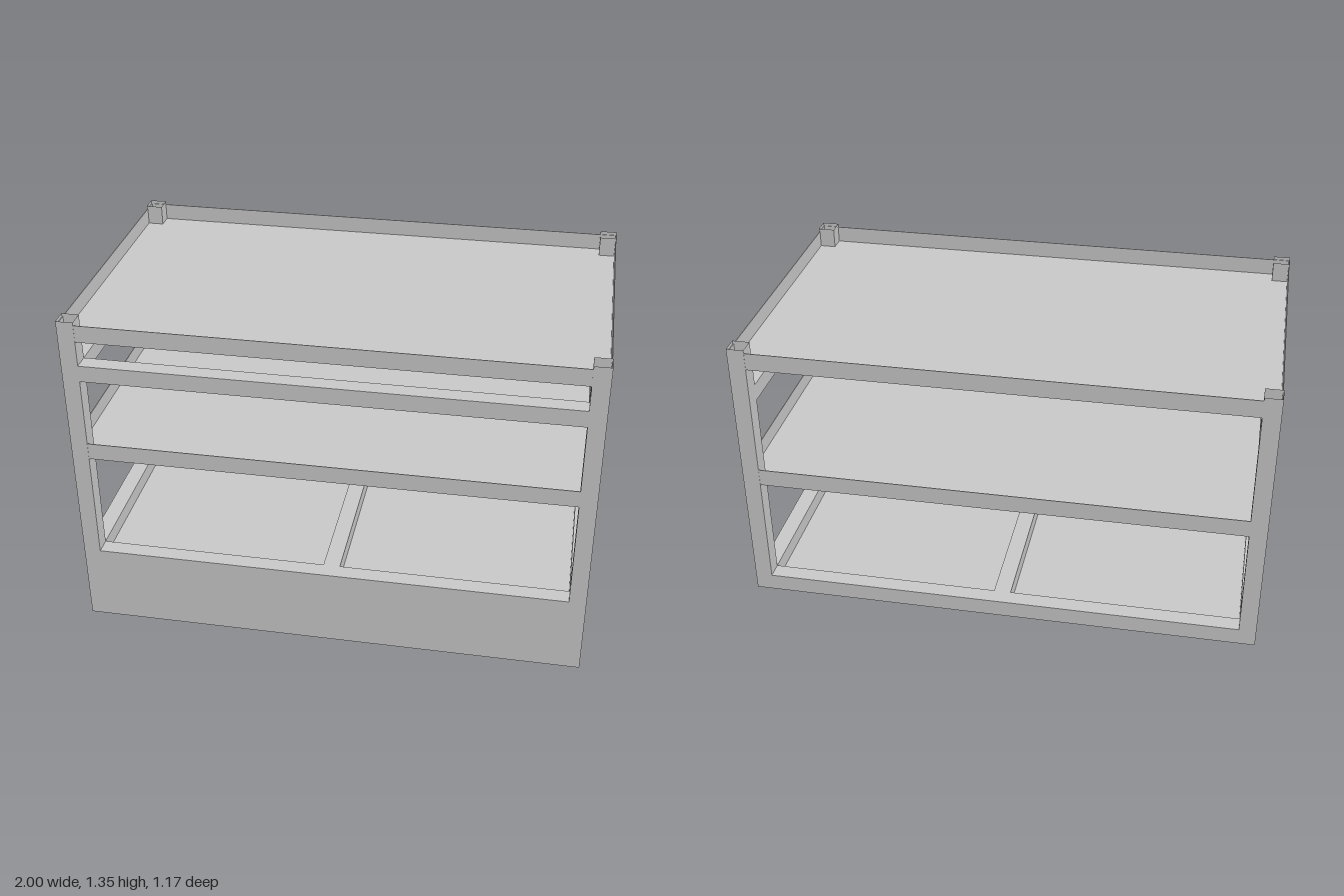
import * as THREE from 'three';

const W = 1.0;     // half width (x)
const D = 0.583;   // half depth (z)
const T = 0.066;   // tube size
const material = new THREE.MeshStandardMaterial({ color: 0xcccccc, flatShading: true, side: THREE.DoubleSide });

// Box given by its lower and upper corners
function box(parent, name, [x0, y0, z0], [x1, y1, z1]) {
  const mesh = new THREE.Mesh(new THREE.BoxGeometry(x1 - x0, y1 - y0, z1 - z0), material);
  mesh.position.set((x0 + x1) / 2, (y0 + y1) / 2, (z0 + z1) / 2);
  mesh.name = name;
  parent.add(mesh);
}

// Square thin-walled tube, open at the top
function post(parent, name, sx, sz, y0, y1) {
  const geometry = new THREE.CylinderGeometry(T / Math.SQRT2, T / Math.SQRT2, y1 - y0, 4, 1, true);
  geometry.rotateY(Math.PI / 4);
  const mesh = new THREE.Mesh(geometry, material);
  mesh.position.set(sx * (W - T / 2), (y0 + y1) / 2, sz * (D - T / 2));
  mesh.name = name;
  parent.add(mesh);
}

// Shallow tray: flat panel with a thin rim standing up around it
function tray(name, y0, y1) {
  const group = new THREE.Group();
  group.name = name;
  const w = W - 0.001, d = D - 0.001, t = 0.003;
  box(group, 'panel', [-w, y0, -d], [w, y0 + t, d]);
  for (const s of [-1, 1]) {
    const x = s * (w - t / 2), z = s * (d - t / 2);
    box(group, 'longRim', [-w, y0, z - t / 2], [w, y1, z + t / 2]);
    box(group, 'shortRim', [x - t / 2, y0, -d + t], [x + t / 2, y1, d - t]);
  }
  return group;
}

export function createModel() {
  const model = new THREE.Group();
  model.name = 'shelfCart';

  // Bottom frame with floor panel and central cross beam
  const base = new THREE.Group();
  base.name = 'baseFrame';
  const b0 = 0.253, b1 = 0.32;
  box(base, 'floorPanel', [-W + T, b0, -D + T], [W - T, b0 + 0.004, D - T]);
  box(base, 'backBeam', [-W, b0, -D], [W, b1, -D + T]);
  box(base, 'leftBeam', [W - T, b0, -D + T], [W, b1, D - T]);
  box(base, 'rightBeam', [-W, b0, -D + T], [-W + T, b1, D - T]);
  box(base, 'crossBeam', [-T / 2, b0 + 0.004, -D + T], [T / 2, b1, D - T]);
  box(base, 'frontSkirt', [-W, 0, D - T], [W, b1, D]);
  model.add(base);

  // Corner posts
  for (const sx of [-1, 1]) {
    for (const sz of [-1, 1]) {
      post(model, (sz > 0 ? 'front' : 'back') + (sx > 0 ? 'Left' : 'Right') + 'Post', sx, sz, b1, 1.348);
    }
  }

  // Middle shelf and top
  model.add(tray('middleShelf', 0.76, 0.828));
  model.add(tray('topTray', 1.267, 1.335));

  // Upper rails on the front and both sides; the back stays open
  const r0 = 1.102, r1 = 1.168;
  box(model, 'frontRail', [-W + T, r0, D - T], [W - T, r1, D]);
  box(model, 'leftRail', [W - T, r0, -D + T], [W, r1, D - T]);
  box(model, 'rightRail', [-W, r0, -D + T], [-W + T, r1, D - T]);

  return model;
}
